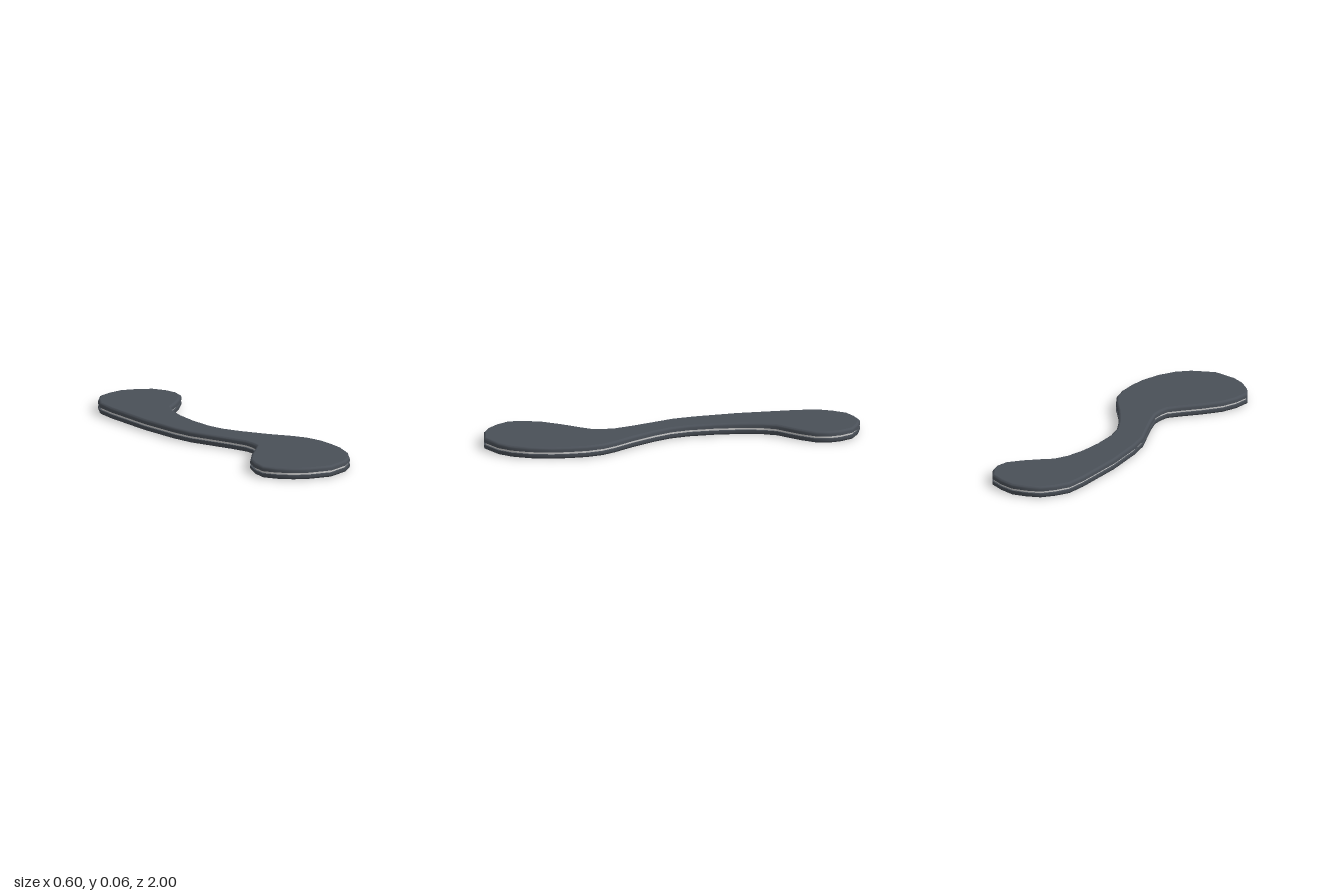
import * as THREE from 'three';
import { mergeGeometries, toCreasedNormals } from 'three/addons/utils/BufferGeometryUtils.js';

// Plan outline as x, z pairs, clockwise seen from above
const PLAN = [
  0.09, -1, 0.175, -0.97, 0.25, -0.925, 0.29, -0.85, 0.3, -0.79, 0.285, -0.72, 0.22, -0.65, 0.155, -0.595,
  0.095, -0.55, 0.055, -0.48, 0.025, -0.37, 0.01, -0.24, 0.01, -0.1, 0.03, 0, 0.075, 0.1, 0.15, 0.23,
  0.23, 0.345, 0.27, 0.42, 0.29, 0.51, 0.29, 0.61, 0.28, 0.7, 0.245, 0.81, 0.19, 0.9, 0.125, 0.955,
  0, 1, -0.13, 0.97, -0.2, 0.93, -0.26, 0.87, -0.303, 0.8, -0.29, 0.71, -0.255, 0.625, -0.18, 0.535,
  -0.1, 0.455, -0.05, 0.4, -0.04, 0.35, -0.04, 0.29, -0.07, 0.19, -0.125, 0.04, -0.155, -0.04, -0.175, -0.16,
  -0.19, -0.4, -0.18, -0.71, -0.165, -0.83, -0.12, -0.905, -0.065, -0.965, 0.01, -0.99,
];
const outline = [];
for (let i = 0; i < PLAN.length; i += 2) outline.push(new THREE.Vector2(PLAN[i], PLAN[i + 1]));
const N = outline.length;

// Outline moved inwards by d
function inset(d) {
  return outline.map((p, i) => {
    const a = outline[(i + N - 1) % N], b = outline[(i + 1) % N];
    const t1 = p.clone().sub(a).normalize(), t2 = b.clone().sub(p).normalize();
    const t = t1.clone().add(t2).normalize();
    const k = d / t.dot(t1);
    return new THREE.Vector2(p.x - t.y * k, p.y + t.x * k);
  });
}

function indexed(positions, index) {
  const g = new THREE.BufferGeometry();
  g.setAttribute('position', new THREE.Float32BufferAttribute(positions, 3));
  g.setIndex(index);
  return toCreasedNormals(g, 0.75);
}

// Flat lid facing up (or down)
function lid(d, y, up) {
  const pts = inset(d), index = [];
  for (const [a, b, c] of THREE.ShapeUtils.triangulateShape(pts, [])) {
    const facesUp = THREE.ShapeUtils.area([pts[a], pts[b], pts[c]]) < 0;
    index.push(...(facesUp === up ? [a, b, c] : [a, c, b]));
  }
  return indexed(pts.flatMap((p) => [p.x, y, p.y]), index);
}

// Solid plate from an edge profile of [inset, y], bottom to top
function plate(name, profile, color) {
  const positions = [], index = [];
  profile.forEach(([d, y], r) => {
    for (const p of inset(d)) positions.push(p.x, y, p.y);
    if (r === 0) return;
    for (let i = 0; i < N; i++) {
      const j = (i + 1) % N, lo = (r - 1) * N, hi = r * N;
      index.push(lo + i, hi + i, hi + j, lo + i, hi + j, lo + j);
    }
  });
  const first = profile[0], last = profile[profile.length - 1];
  const geometry = mergeGeometries([
    indexed(positions, index), lid(first[0], first[1], false), lid(last[0], last[1], true),
  ]);
  const mesh = new THREE.Mesh(geometry, new THREE.MeshStandardMaterial({ color }));
  mesh.name = name;
  return mesh;
}

export function createModel() {
  const model = new THREE.Group();
  model.name = 'curvedPaddle';
  const dark = 0x4a5058;
  // Rounded outer edge shared by both plates: [inset, distance from outer face]
  const edge = [[0.012, 0], [0.006, 0.002], [0.002, 0.006], [0, 0.012]];
  const top = 0.061;

  model.add(plate('lowerPlate', [...edge, [0, 0.024]], dark));
  model.add(plate('middleBand', [[0.01, 0.024], [0.01, 0.036]], 0xcccccc));
  model.add(plate('upperPlate', [[0, 0.036], ...edge.map(([d, y]) => [d, top - y]).reverse()], dark));
  return model;
}
